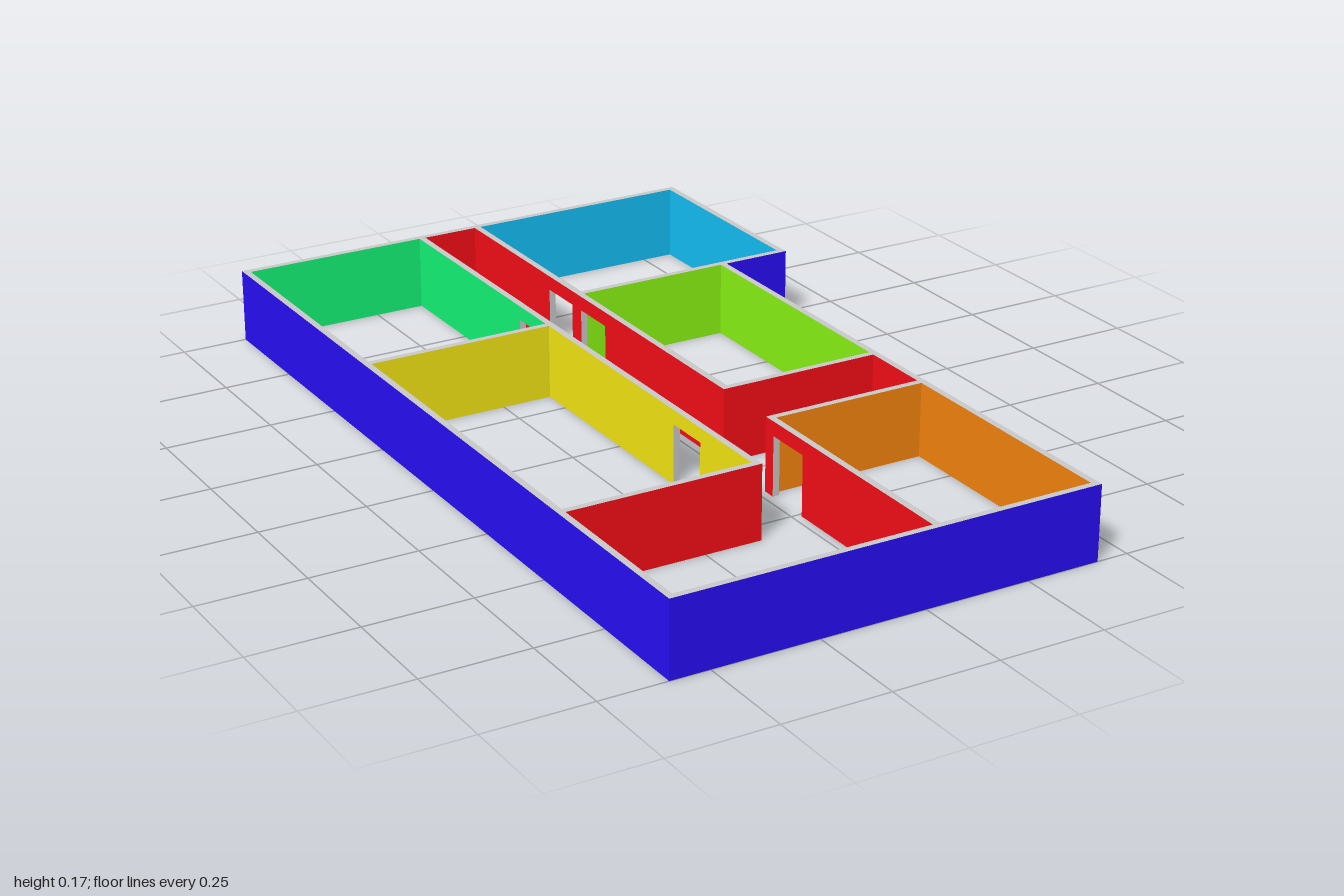
import * as THREE from 'three';
import { mergeGeometries } from 'three/addons/utils/BufferGeometryUtils.js';

const H = 0.175, DOOR_H = 0.141;

// Doorways, all in walls that run along z: [x0, x1, z0, z1]
const DOORS = [
  [-0.131, -0.115, -0.465, -0.35],
  [-0.131, -0.115, 0.233, 0.345],
  [0.02, 0.036, -0.6, -0.488],
  [0.02, 0.036, -0.446, -0.332],
  [0.02, 0.036, 0.395, 0.51],
];

// Plan rectangles of the walls: [x0, x1, z0, z1]
const WALLS = [
  [-0.592, 0.592, -1, -0.984],
  [-0.592, -0.576, -0.984, 0.984],
  [-0.592, 0.425, 0.984, 1],
  [0.409, 0.425, -0.46, 0.984],
  [0.576, 0.592, -0.984, -0.476],
  [0.02, 0.592, -0.476, -0.46],
  [0.02, 0.036, -0.984, -0.476],
  [0.02, 0.036, -0.46, 0.176],
  [0.02, 0.409, 0.176, 0.192],
  [0.02, 0.409, 0.364, 0.38],
  [0.02, 0.036, 0.38, 0.984],
  [-0.131, -0.115, -0.984, 0.55],
  [-0.576, -0.131, -0.34, -0.324],
  [-0.576, -0.115, 0.55, 0.566],
];

const rect = (x0, x1, z0, z1) => [[x0, z0], [x1, z0], [x1, z1], [x0, z1]];

// Painted faces, each loop ordered so that its panels face the space it belongs to
const SURFACES = [
  ['backLeftRoom', 0x14fa78, rect(-0.576, -0.131, -0.984, -0.34)],
  ['middleLeftRoom', 0xfaeb14, rect(-0.576, -0.131, -0.324, 0.55)],
  ['backRightRoom', 0x14c3fa, rect(0.036, 0.576, -0.984, -0.476)],
  ['middleRightRoom', 0x8cfa14, rect(0.036, 0.409, -0.46, 0.176)],
  ['frontRightRoom', 0xfa870f, rect(0.036, 0.409, 0.38, 0.984)],
  ['hallway', 0xfa0f17, [
    [-0.115, -0.984], [0.02, -0.984], [0.02, 0.192], [0.409, 0.192], [0.409, 0.364],
    [0.02, 0.364], [0.02, 0.984], [-0.576, 0.984], [-0.576, 0.566], [-0.115, 0.566]]],
  ['outerFacade', 0x280efa, [
    [-0.592, -1], [-0.592, 1], [0.425, 1], [0.425, -0.46], [0.592, -0.46], [0.592, -1]]],
];

// Upright panel from a to b with door notches; faces to the right of a -> b seen from above
function panel([ax, az], [bx, bz], height = H, notches = []) {
  const length = Math.hypot(bx - ax, bz - az);
  const s = new THREE.Shape().moveTo(0, 0);
  for (const [s0, s1] of notches) {
    s.lineTo(s0, 0).lineTo(s0, DOOR_H).lineTo(s1, DOOR_H).lineTo(s1, 0);
  }
  s.lineTo(length, 0).lineTo(length, height).lineTo(0, height).closePath();
  return new THREE.ShapeGeometry(s)
    .rotateY(Math.atan2(az - bz, bx - ax))
    .translate(ax, 0, az);
}

// Doors cut through the edge a -> b, as distances from a
function notchesOn([ax, az], [bx, bz]) {
  if (Math.abs(ax - bx) > 1e-6) return [];
  const lo = Math.min(az, bz), hi = Math.max(az, bz);
  return DOORS
    .filter(([x0, x1, z0, z1]) => ax > x0 - 1e-4 && ax < x1 + 1e-4 && z0 > lo && z1 < hi)
    .map(([, , z0, z1]) => [Math.abs(z0 - az), Math.abs(z1 - az)].sort((p, q) => p - q))
    .sort((p, q) => p[0] - q[0]);
}

// Flat strip over a plan rectangle, facing up (1) or down (-1)
function strip([x0, x1, z0, z1], y, facing) {
  return new THREE.PlaneGeometry(x1 - x0, z1 - z0)
    .rotateX(-facing * Math.PI / 2)
    .translate((x0 + x1) / 2, y, (z0 + z1) / 2);
}

// Splits a wall rectangle into the parts that stand on the ground
function groundParts([x0, x1, z0, z1]) {
  const parts = [];
  let z = z0;
  for (const d of DOORS) {
    if (d[0] === x0 && d[1] === x1 && d[2] > z0 && d[3] < z1) {
      parts.push([x0, x1, z, d[2]]);
      z = d[3];
    }
  }
  parts.push([x0, x1, z, z1]);
  return parts;
}

export function createModel() {
  const group = new THREE.Group();
  const add = (name, color, geometries) => {
    const material = new THREE.MeshStandardMaterial({ color });
    const mesh = new THREE.Mesh(mergeGeometries(geometries), material);
    mesh.name = name;
    group.add(mesh);
  };

  // Painted wall faces
  for (const [name, color, loop] of SURFACES) {
    add(name, color, loop.map((a, i) => {
      const b = loop[(i + 1) % loop.length];
      return panel(a, b, H, notchesOn(a, b));
    }));
  }

  // Bare wall edges above and below
  add('wallTops', 0xcccccc, WALLS.map((w) => strip(w, H, 1)));
  add('wallBottoms', 0xcccccc, WALLS.flatMap(groundParts).map((w) => strip(w, 0, -1)));

  // Door jambs and lintel undersides
  add('doorFrames', 0xcccccc, DOORS.flatMap((d) => {
    const [x0, x1, z0, z1] = d;
    return [
      panel([x0, z0], [x1, z0], DOOR_H),
      panel([x1, z1], [x0, z1], DOOR_H),
      strip(d, DOOR_H, -1),
    ];
  }));

  return group;
}
